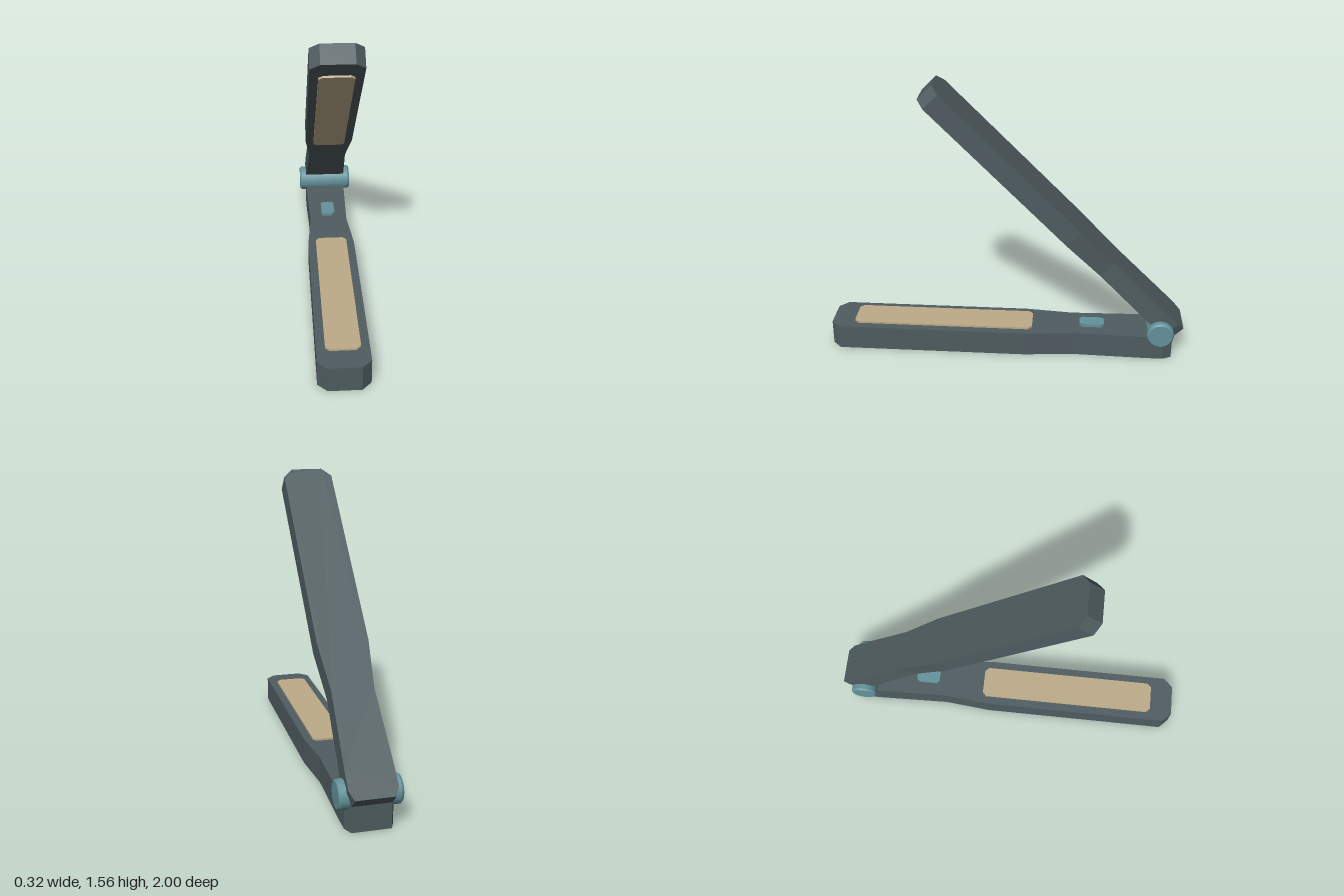
import * as THREE from 'three';

const material = (color) => new THREE.MeshStandardMaterial({ color, flatShading: true });

// Slab with a mirrored outline of [half width, distance along z], between y0 and y1
function slab(name, half, y0, y1, mat) {
  const pts = half.map(([x, s]) => new THREE.Vector2(x, s));
  const mirrored = half.map(([x, s]) => new THREE.Vector2(-x, s)).reverse();
  const shape = new THREE.Shape([...pts, ...mirrored]);
  const geo = new THREE.ExtrudeGeometry(shape, { depth: y1 - y0, bevelEnabled: false });
  geo.rotateX(Math.PI / 2).translate(0, y1, 0);
  const mesh = new THREE.Mesh(geo, mat);
  mesh.name = name;
  return mesh;
}

// Half outline of a rectangle with cut corners
const cutRect = (w, s0, s1, c) => [[w - c, s0], [w, s0 + c], [w, s1 - c], [w - c, s1]];

export function createModel() {
  const model = new THREE.Group();
  model.name = 'foldingArms';
  const dark = material(0x4f5c60);
  const teal = material(0x64929a);
  const tan = material(0xbcab89);

  // Both arms share one waisted outline, measured from the hinge end
  const armOutline = [
    [0.1, 0], [0.122, 0.05], [0.122, 0.15], [0.11, 0.565],
    [0.135, 0.83], [0.135, 1.89], [0.085, 1.94],
  ];
  const padOutline = cutRect(0.09, 0.79, 1.81, 0.022);

  // Lower arm with its pad and button
  const lower = new THREE.Group();
  lower.name = 'lowerArm';
  lower.position.z = -0.94;
  lower.add(
    slab('lowerBody', armOutline, 0, 0.14, dark),
    slab('lowerPad', padOutline, 0.138, 0.151, tan),
    slab('button', cutRect(0.04, 0.38, 0.52, 0.016), 0.138, 0.158, teal),
  );

  // Upper arm opened at 45 degrees, pad on its underside
  const upper = new THREE.Group();
  upper.name = 'upperArm';
  upper.position.set(0, 0.114, -0.919);
  upper.rotation.x = -Math.PI / 4;
  upper.add(
    slab('upperBody', armOutline, 0, 0.11, dark),
    slab('upperPad', padOutline, -0.011, 0.002, tan),
  );

  // Hinge barrel with bevelled ends
  const profile = [[0, -0.16], [0.066, -0.16], [0.075, -0.149], [0.075, 0.149], [0.066, 0.16], [0, 0.16]]
    .map(([r, y]) => new THREE.Vector2(r, y));
  const hinge = new THREE.Mesh(new THREE.LatheGeometry(profile, 32), teal);
  hinge.name = 'hingeBarrel';
  hinge.rotation.z = Math.PI / 2;
  hinge.position.set(0, 0.17, -0.867);

  model.add(lower, upper, hinge);
  return model;
}
